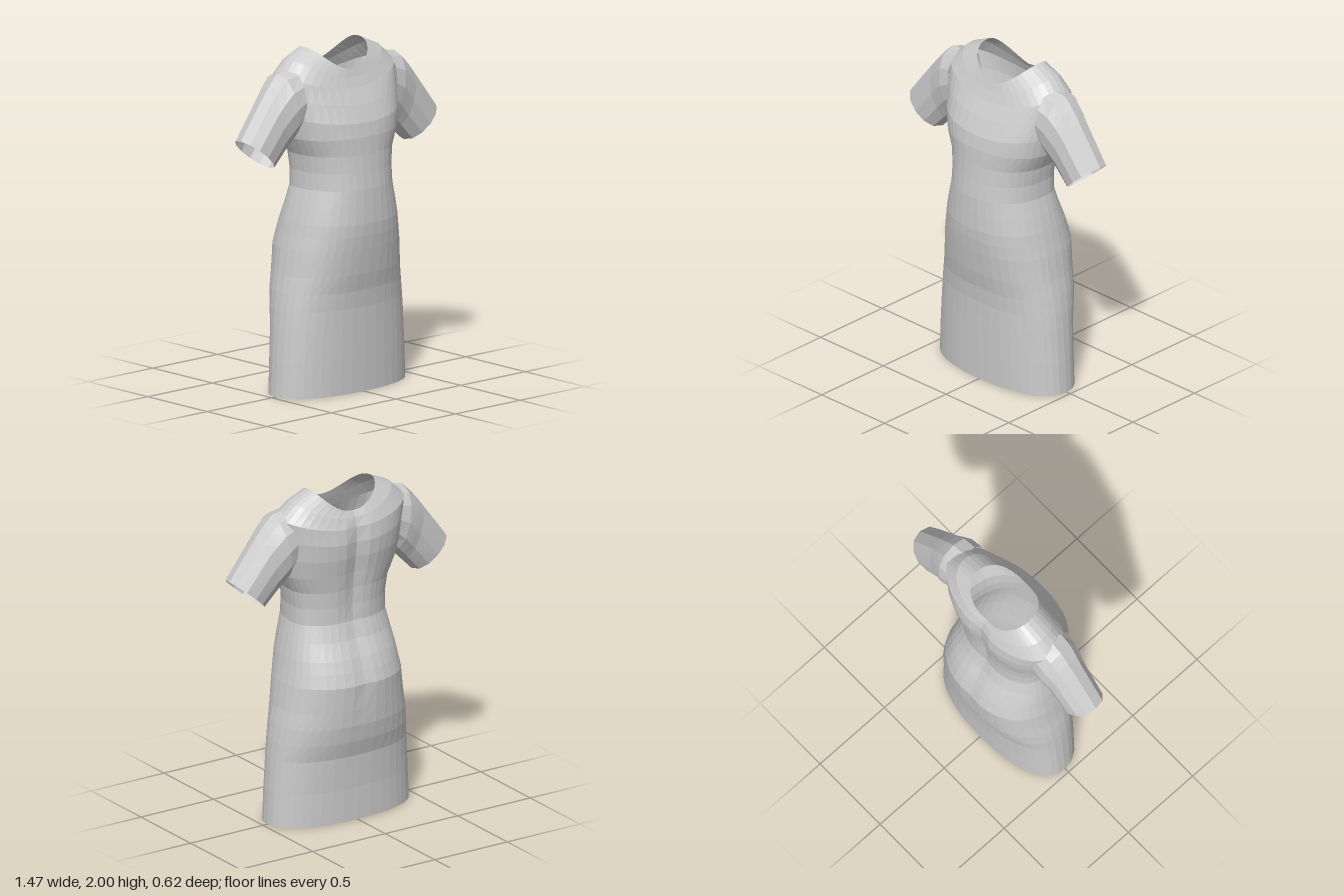
import * as THREE from 'three';

const cloth = new THREE.MeshStandardMaterial({
  color: 0xcccccc, flatShading: true, side: THREE.DoubleSide,
});

// Skin closed rings of points; keep(row, column) can leave an opening.
function loft(rings, keep = () => true) {
  const n = rings[0].length;
  const index = [];
  for (let i = 0; i < rings.length - 1; i++) {
    for (let j = 0; j < n; j++) {
      if (!keep(i, j)) continue;
      const k = (j + 1) % n;
      const a = i * n + j, b = i * n + k, c = a + n, d = b + n;
      index.push(a, b, d, a, d, c);
    }
  }
  const geometry = new THREE.BufferGeometry();
  geometry.setAttribute('position', new THREE.Float32BufferAttribute(rings.flat(2), 3));
  geometry.setIndex(index);
  geometry.computeVertexNormals();
  return geometry;
}

const power = (v, p) => Math.sign(v) * Math.abs(v) ** p;

// Skirt and waist: [height, half width, front z, back z, back groove]
const level = [
  [0, 0.47, 0.23, -0.22, 0],
  [0.2, 0.46, 0.235, -0.225, 0],
  [0.4, 0.445, 0.24, -0.24, 0],
  [0.5, 0.435, 0.243, -0.27, 0],
  [0.6, 0.42, 0.253, -0.29, 0.002],
  [0.7, 0.4, 0.273, -0.3, 0.005],
  [0.85, 0.378, 0.295, -0.312, 0.012],
  [0.93, 0.362, 0.305, -0.29, 0.014],
  [1.0, 0.35, 0.31, -0.265, 0.014],
  [1.1, 0.328, 0.308, -0.22, 0.015],
  [1.2, 0.303, 0.305, -0.19, 0.015],
  [1.3, 0.303, 0.295, -0.192, 0.02],
  [1.4, 0.318, 0.287, -0.2, 0.025],
  [1.5, 0.365, 0.282, -0.215, 0.028],
].map(([y, w, zf, zb, g]) => ({ w, ys: y, zf, yf: y, zb, yb: y, g, zc: 0 }));

// Chest to neckline, rising toward the shoulders:
// [half width, side y, front z, front y, back z, back y, groove, middle z]
const yoke = [
  [0.39, 1.62, 0.268, 1.58, -0.235, 1.6, 0.03, -0.01],
  [0.405, 1.74, 0.225, 1.68, -0.243, 1.69, 0.03, -0.02],
  [0.42, 1.86, 0.178, 1.77, -0.232, 1.78, 0.022, -0.03],
  [0.33, 1.945, 0.155, 1.825, -0.208, 1.835, 0.014, -0.045],
  [0.21, 2.0, 0.14, 1.87, -0.185, 1.87, 0.01, -0.05],
].map(([w, ys, zf, yf, zb, yb, g, zc]) => ({ w, ys, zf, yf, zb, yb, g, zc }));

const SIDES = 40;

function bodyRing({ w, ys, zf, yf, zb, yb, g, zc }) {
  return Array.from({ length: SIDES }, (_, j) => {
    const t = (j / SIDES) * Math.PI * 2;
    const s = power(Math.sin(t), 0.87), c = power(Math.cos(t), 0.87);
    const x = w * s;
    let z = zc + c * (c > 0 ? zf - zc : zc - zb);
    if (c < 0) z += g * Math.exp(-((x / 0.06) ** 2));
    return [x, THREE.MathUtils.lerp(c > 0 ? yf : yb, ys, s * s), z];
  });
}

// Sleeve rings: [top x, top y, bottom x, bottom y, half depth, middle z]
const sleeve = [
  [0.36, 1.9, 0.34, 1.55, 0.14, -0.005],
  [0.45, 1.885, 0.372, 1.5, 0.142, -0.01],
  [0.505, 1.83, 0.405, 1.465, 0.132, -0.01],
  [0.56, 1.765, 0.44, 1.43, 0.12, -0.008],
  [0.735, 1.535, 0.52, 1.35, 0.113, -0.004],
];

function sleeveRing([tx, ty, bx, by, depth, zc]) {
  return Array.from({ length: 12 }, (_, j) => {
    const t = (j / 12) * Math.PI * 2;
    const k = (1 + Math.cos(t)) / 2;
    return [bx + (tx - bx) * k, by + (ty - by) * k, zc + depth * power(Math.sin(t), 0.85)];
  });
}

export function createModel() {
  const dress = new THREE.Group();
  dress.name = 'dress';

  // Body with an armhole left open on each side
  const rows = [...level, ...yoke];
  const first = level.length;
  const armhole = (i, j) => {
    const fromSide = Math.abs((j + 0.5) % (SIDES / 2) - SIDES / 4);
    return i >= first && i < first + 2 && fromSide < 2;
  };
  const body = new THREE.Mesh(loft(rows.map(bodyRing), (i, j) => !armhole(i, j)), cloth);
  body.name = 'body';
  dress.add(body);

  // Short open sleeves, mirrored
  const sleeveGeometry = loft(sleeve.map(sleeveRing));
  for (const [name, side] of [['leftSleeve', 1], ['rightSleeve', -1]]) {
    const mesh = new THREE.Mesh(sleeveGeometry, cloth);
    mesh.name = name;
    mesh.scale.x = side;
    dress.add(mesh);
  }
  return dress;
}
